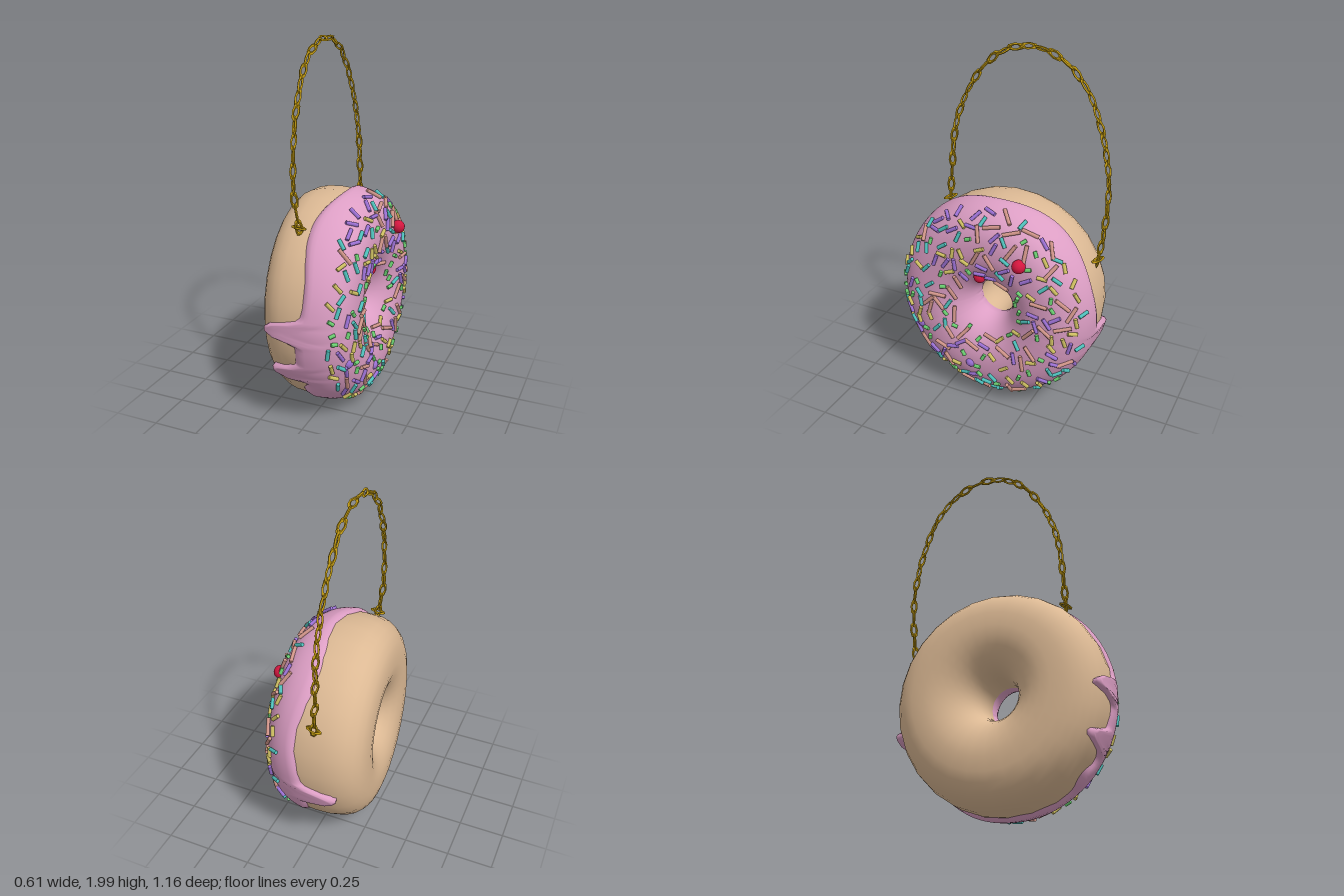
import * as THREE from 'three';

const mat = (name, color) => {
  const m = new THREE.MeshStandardMaterial({ color });
  m.name = name;
  return m;
};

// Ring surface around the x axis: phi runs around the ring, theta around its cross-section
const CY = 0.61, X0 = -0.03, R = 0.335, TUBE = 0.23, FRONT = 0.27, POW = 0.8;
const backDepth = (z) => 0.25 - 0.075 * z;
function ringPoint(phi, theta, off = 0) {
  const c = Math.cos(theta), s = Math.sin(theta);
  const rad = R + (c < 0 ? c : Math.pow(c, POW)) * (TUBE + off);
  const z = rad * Math.cos(phi);
  const depth = (s > 0 ? FRONT : backDepth(z)) + off;
  const x = X0 + Math.sign(s) * Math.pow(Math.abs(s), POW) * depth;
  return new THREE.Vector3(x, CY + 1.04 * rad * Math.sin(phi), z);
}

// Surface grid, closed around the ring and optionally around the cross-section
function ringGrid(cols, rows, closed, fn) {
  const pos = [], idx = [], n = closed ? rows : rows + 1;
  for (let i = 0; i < cols; i++)
    for (let j = 0; j < n; j++) pos.push(...fn((i / cols) * Math.PI * 2, j).toArray());
  for (let i = 0; i < cols; i++)
    for (let j = 0; j < rows; j++) {
      const i2 = (i + 1) % cols, j2 = (j + 1) % n;
      const a = i * n + j, b = i * n + j2, c = i2 * n + j, d = i2 * n + j2;
      idx.push(a, b, c, c, b, d);
    }
  const g = new THREE.BufferGeometry();
  g.setAttribute('position', new THREE.Float32BufferAttribute(pos, 3));
  g.setIndex(idx);
  g.computeVertexNormals();
  return g;
}

// Icing drips: angle, width, how far they run back
const DRIPS = [[-0.01, 0.09, 0.18], [-0.46, 0.08, 0.15], [-0.8, 0.12, 0.06], [3.4, 0.09, 0.18]];
function icingEdge(phi) {
  let x = 0.005 + 0.025 * Math.cos(5 * (phi - Math.PI / 2)), drip = 0;
  for (const [p, w, len] of DRIPS) {
    const d = Math.atan2(Math.sin(phi - p), Math.cos(phi - p));
    const k = Math.exp(-Math.pow(Math.abs(d) / w, 3));
    x -= len * k;
    drip = Math.max(drip, k * len / 0.18);
  }
  const d = x - X0, depth = d > 0 ? FRONT : backDepth(0.57 * Math.cos(phi));
  return { theta: Math.sign(d) * Math.asin(Math.pow(Math.abs(d) / depth, 1 / POW)), drip };
}

function seeded(seed) {
  return () => {
    seed = (seed * 16807) % 2147483647;
    return seed / 2147483647;
  };
}

export function createModel() {
  const root = new THREE.Group();
  root.name = 'donutBag';
  const dough = mat('dough', 0xdcb994), pink = mat('pinkIcing', 0xdc9ec4);
  const gold = mat('gold', 0xb8920f), red = mat('red', 0xd4163f);
  const purple = mat('purple', 0x9d72d6), green = mat('green', 0x6cd072);
  const teal = mat('teal', 0x4fc2bd), yellow = mat('yellow', 0xcfc062), salmon = mat('salmon', 0xd2968a);
  const add = (parent, name, geo, material) => {
    const m = new THREE.Mesh(geo, material);
    m.name = name;
    parent.add(m);
    return m;
  };

  // Dough ring
  add(root, 'doughRing', ringGrid(28, 28, true, (phi, j) => ringPoint(phi, (j / 28) * Math.PI * 2)), dough);

  // Icing coat with rounded rim and drips
  const ROWS = 34;
  add(root, 'icing', ringGrid(180, ROWS, false, (phi, j) => {
    const { theta, drip } = icingEdge(phi), t = j / ROWS, end = Math.PI - 0.12;
    const rim = Math.min(1, Math.sqrt(j / 2), Math.sqrt((ROWS - j) / 2));
    const thick = 0.015 + 0.02 * drip * Math.max(0, 1 - t * 4);
    return ringPoint(phi, theta + (end - theta) * Math.pow(t, 1.15), -0.012 + (thick + 0.012) * rim);
  }), pink);

  // Candy balls: x, y, z, radius
  const balls = new THREE.Group();
  balls.name = 'candyBalls';
  root.add(balls);
  for (const [x, y, z, r, m] of [
    [0.268, 0.955, -0.217, 0.037, red], [0.2, 0.79, 0.043, 0.034, red],
    [0.215, 0.41, 0.4, 0.037, purple], [0.24, 0.24, 0.085, 0.03, purple],
  ]) add(balls, 'candyBall', new THREE.SphereGeometry(r, 16, 12), m).position.set(x, y, z);

  // Sprinkles scattered over the icing face
  const sprinkles = new THREE.Group();
  sprinkles.name = 'sprinkles';
  root.add(sprinkles);
  const kinds = [[salmon, 0.095], [purple, 0.068], [teal, 0.058], [yellow, 0.055], [green, 0.034]];
  const rods = kinds.map(([, len]) => new THREE.CylinderGeometry(0.0105, 0.0105, len, 7));
  const rnd = seeded(4711), placed = [], up = new THREE.Vector3(0, 1, 0);
  for (let tries = 0; tries < 4000 && placed.length < 205; tries++) {
    const phi = rnd() * Math.PI * 2, theta = 0.6 + rnd() * 1.65, turn = rnd() * Math.PI;
    const p = ringPoint(phi, theta, 0.021);
    if (rnd() > Math.hypot(p.y - CY, p.z) / 0.6) continue;
    if (placed.some((q) => q.distanceTo(p) < 0.05)) continue;
    const along = ringPoint(phi, theta + 0.01, 0.021).sub(p).normalize();
    const around = ringPoint(phi + 0.01, theta, 0.021).sub(p).normalize();
    const k = placed.length % kinds.length;
    const s = add(sprinkles, 'sprinkle', rods[k], kinds[k][0]);
    s.position.copy(p);
    s.quaternion.setFromUnitVectors(up, along.multiplyScalar(Math.cos(turn)).addScaledVector(around, Math.sin(turn)).normalize());
    placed.push(p);
  }

  // Chain handle: elongated faceted links along an arch
  const chain = new THREE.Group();
  chain.name = 'chainHandle';
  root.add(chain);
  const arch = new THREE.CatmullRomCurve3([
    [-0.065, 1.09, 0.36], [-0.09, 1.25, 0.36], [-0.1, 1.5, 0.335], [-0.11, 1.7, 0.265], [-0.12, 1.88, 0.14],
    [-0.12, 1.965, 0], [-0.12, 1.98, -0.12], [-0.12, 1.93, -0.27], [-0.12, 1.8, -0.4], [-0.11, 1.6, -0.49],
    [-0.1, 1.35, -0.545], [-0.09, 1.1, -0.545], [-0.07, 0.9, -0.525],
  ].map((p) => new THREE.Vector3(...p)));
  const linkGeo = new THREE.TorusGeometry(0.016, 0.0065, 4, 8).scale(2.3, 1, 1).toNonIndexed();
  linkGeo.computeVertexNormals();
  const LINKS = 34, xAxis = new THREE.Vector3(1, 0, 0);
  for (let i = 0; i < LINKS; i++) {
    const u = i / (LINKS - 1);
    const link = add(chain, 'chainLink', linkGeo, gold);
    link.position.copy(arch.getPointAt(u));
    link.quaternion.setFromUnitVectors(xAxis, arch.getTangentAt(u));
    link.rotateX((i % 2) * Math.PI / 2 + 0.5 + rnd() * 0.5);
    link.rotateZ((rnd() - 0.5) * 0.3);
  }
  // Anchor rings where the chain meets the dough
  for (const u of [0, 1]) {
    const ring = add(chain, 'anchorRing', linkGeo, gold);
    ring.position.copy(arch.getPointAt(u));
    ring.rotation.set(Math.PI / 2, 0, 0.3);
  }
  return root;
}
